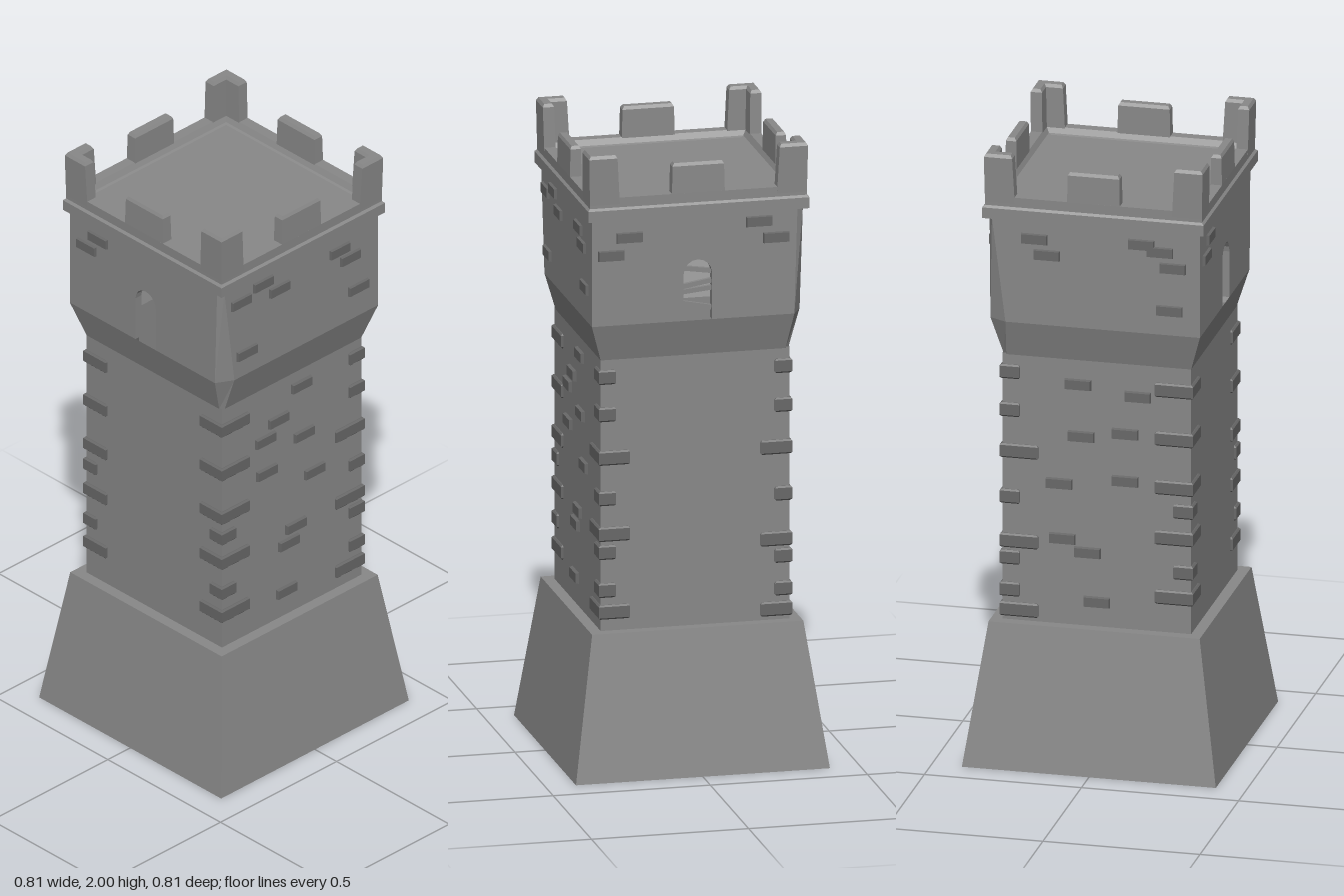
import * as THREE from 'three';

const stone = new THREE.MeshStandardMaterial({ color: 0x888888, flatShading: true, side: THREE.DoubleSide });
const darkStone = new THREE.MeshStandardMaterial({ color: 0x686868, flatShading: true, side: THREE.DoubleSide });

// Each ring is { y, pts: [[x, z], ...] }, counter-clockwise seen from above.
function loft(rings, { top = false, bottom = false, skip = [] } = {}) {
  const pos = [];
  const put = (r, i) => pos.push(r.pts[i][0], r.y, r.pts[i][1]);
  for (let k = 0; k < rings.length - 1; k++) {
    const lo = rings[k], hi = rings[k + 1], n = lo.pts.length;
    for (let i = 0; i < n; i++) {
      if (skip.includes(i)) continue;
      const j = (i + 1) % n;
      put(lo, i); put(lo, j); put(hi, j);
      put(lo, i); put(hi, j); put(hi, i);
    }
  }
  const cap = (r, flip) => {
    const flat = r.pts.map(([x, z]) => new THREE.Vector2(x, -z));
    for (const [a, b, c] of THREE.ShapeUtils.triangulateShape(flat, [])) {
      for (const i of flip ? [a, c, b] : [a, b, c]) put(r, i);
    }
  };
  if (top) cap(rings[rings.length - 1], false);
  if (bottom) cap(rings[0], true);
  const g = new THREE.BufferGeometry();
  g.setAttribute('position', new THREE.Float32BufferAttribute(pos, 3));
  g.computeVertexNormals();
  return g;
}

const rect = (y, x0, x1, z0, z1) => ({ y, pts: [[x1, z1], [x1, z0], [x0, z0], [x0, z1]] });
const square = (h, y) => rect(y, -h, h, -h, h);

// L-shaped ring hugging the +x +z corner; its arms end at endX and endZ
function ell(y, o, endX, endZ, t) {
  return { y, pts: [[o, o], [o, endZ], [t, endZ], [t, t], [endX, t], [endX, o]] };
}

// Square ring with two opposite corners cut: a along x, b along z
function cutSquare(y, h, a, b) {
  return { y, pts: [[h, h], [h, -h + b], [h - a, -h], [-h, -h], [-h, h - b], [-h + a, h]] };
}

function add(parent, name, geometry, material = stone, turn = 0) {
  const m = new THREE.Mesh(geometry, material);
  m.name = name;
  m.rotation.y = turn * Math.PI / 2;
  parent.add(m);
}

// Brick with a bevelled outer face, on the wall at distance d; turn picks the side
function brick(parent, u, y, d, turn) {
  const w = 0.09, h = 0.04;
  const g = new THREE.BoxGeometry(w, h, 0.022);
  const p = g.attributes.position;
  for (let i = 0; i < p.count; i++) {
    if (p.getZ(i) > 0) p.setXY(i, p.getX(i) * (1 - 0.01 / w), p.getY(i) * (1 - 0.01 / h));
  }
  g.translate(u, y, d);
  g.computeVertexNormals();
  add(parent, 'brick', g, darkStone, turn);
}

export function createModel() {
  const tower = new THREE.Group();
  tower.name = 'tower';

  // Sloping hollow base with its ledge, and the plain shaft
  add(tower, 'base', loft([square(0.404, 0), square(0.336, 0.46), square(0.298, 0.46)]));
  add(tower, 'shaft', loft([square(0.3, 0.46), square(0.3, 1.335)]));

  // Flared upper room with two cut corners
  const low = cutSquare(1.45, 0.337, 0.055, 0.03), high = cutSquare(1.79, 0.337, 0.012, 0.02);
  add(tower, 'flare', loft([cutSquare(1.33, 0.3, 0.012, 0.012), low]));
  add(tower, 'upperRoom', loft([low, high], { skip: [0, 3] }));

  // Window walls: the outline is notched by the arched opening
  const w = 0.045, sill = 1.45, spring = 1.6;
  const arch = [new THREE.Vector2(-w, sill)];
  for (let i = 0; i <= 8; i++) {
    const a = Math.PI * (1 - i / 8);
    arch.push(new THREE.Vector2(w * Math.cos(a), spring + w * Math.sin(a)));
  }
  arch.push(new THREE.Vector2(w, sill));
  const outline = [new THREE.Vector2(-0.337, sill), ...arch,
    new THREE.Vector2(0.307, sill), new THREE.Vector2(0.317, 1.79), new THREE.Vector2(-0.337, 1.79)];
  for (const turn of [1, 3]) {
    const wall = new THREE.ShapeGeometry(new THREE.Shape(outline));
    wall.translate(0, 0, 0.337);
    add(tower, 'windowWall', wall, stone, turn);
    // Reveal around the opening
    const pos = [];
    for (let i = 0; i < arch.length - 1; i++) {
      const a = arch[i], b = arch[i + 1], f = 0.337, r = 0.312;
      pos.push(a.x, a.y, f, b.x, b.y, f, b.x, b.y, r, a.x, a.y, f, b.x, b.y, r, a.x, a.y, r);
    }
    const reveal = new THREE.BufferGeometry();
    reveal.setAttribute('position', new THREE.Float32BufferAttribute(pos, 3));
    reveal.computeVertexNormals();
    add(tower, 'windowReveal', reveal, stone, turn);
  }
  // Crooked slats across one window
  for (const [y, tilt] of [[1.61, -0.15], [1.565, 0.16], [1.545, 0.1], [1.495, -0.2]]) {
    const slat = new THREE.BoxGeometry(0.092, 0.015, 0.012);
    slat.rotateZ(tilt);
    slat.translate(0, y, 0.322);
    add(tower, 'windowSlat', slat, stone, 1);
  }

  // Cornice, parapet and roof floor in one sweep
  add(tower, 'parapet', loft([
    square(0.335, 1.785), square(0.352, 1.79), square(0.352, 1.825), square(0.345, 1.832),
    square(0.345, 1.863), square(0.31, 1.863), square(0.3, 1.845), square(0.292, 1.842),
  ], { top: true }));

  // Merlons
  for (let turn = 0; turn < 4; turn++) {
    add(tower, 'middleMerlon', loft([
      rect(1.86, -0.084, 0.084, 0.308, 0.345), rect(1.95, -0.082, 0.082, 0.31, 0.343),
      rect(1.96, -0.076, 0.076, 0.316, 0.338),
    ], { top: true }), stone, turn);
    add(tower, 'cornerMerlon', loft([
      ell(1.842, 0.345, 0.25, 0.25, 0.308), ell(1.99, 0.348, 0.258, 0.258, 0.312),
      ell(2, 0.342, 0.264, 0.264, 0.318),
    ], { top: true }), stone, turn);
  }

  // Corner stones: heights of long and short blocks per corner
  const quoins = new THREE.Group();
  quoins.name = 'cornerStones';
  tower.add(quoins);
  const regular = { long: [1.255, 1.095, 0.935, 0.77, 0.575], short: [0.86, 0.66] };
  const corners = [
    { long: [1.015, 0.77, 0.52], short: [1.275, 1.155, 0.885, 0.712, 0.59] },
    { long: [1.015, 0.72, 0.495], short: [1.275, 1.15, 0.865, 0.665, 0.56] },
    regular, regular,
  ];
  corners.forEach((set, turn) => {
    for (const [list, wide, narrow] of [[set.long, 0.122, 0.1], [set.short, 0.064, 0.055]]) {
      // The longer arm always lies on the front or back wall
      const [armX, armZ] = turn % 2 ? [narrow, wide] : [wide, narrow];
      const o = 0.308, b = 0.005, h = 0.023;
      const ring = (y, inset) => ell(y, o - inset, o - armX + inset, o - armZ + inset, 0.285);
      for (const y of list) {
        add(quoins, 'cornerStone', loft([
          ring(y - h, b), ring(y - h + b, 0), ring(y + h - b, 0), ring(y + h, b),
        ], { top: true, bottom: true }), darkStone, turn);
      }
    }
  });

  // Loose bricks [across, height] on each side: front, +x, back, -x
  const bricks = new THREE.Group();
  bricks.name = 'wallBricks';
  tower.add(bricks);
  const shaftBricks = [
    [[0.04, 1.275], [-0.06, 1.19], [-0.115, 1.14], [0.05, 1.09], [-0.11, 1.02], [0.095, 0.935],
      [0.015, 0.77], [-0.015, 0.72], [-0.025, 0.55]], [],
    [[-0.06, 1.25], [0.13, 1.225], [-0.05, 1.08], [0.09, 1.1], [-0.12, 0.92], [0.09, 0.945],
      [-0.11, 0.74], [-0.03, 0.7], [0, 0.54]], [],
  ];
  const upperBricks = [
    [[-0.255, 1.725], [-0.16, 1.75], [-0.09, 1.7], [0.17, 1.725], [0.215, 1.68], [0.25, 1.555], [-0.23, 1.53]],
    [[-0.217, 1.73], [-0.275, 1.675], [0.195, 1.755], [0.25, 1.7]],
    [[-0.19, 1.73], [-0.15, 1.68], [0.15, 1.74], [0.21, 1.72], [0.25, 1.67], [0.24, 1.53]],
    [[-0.21, 1.74], [-0.26, 1.69]],
  ];
  shaftBricks.forEach((list, turn) => list.forEach(([u, y]) => brick(bricks, u, y, 0.3, turn)));
  upperBricks.forEach((list, turn) => list.forEach(([u, y]) => brick(bricks, u, y, 0.335, turn)));

  return tower;
}
